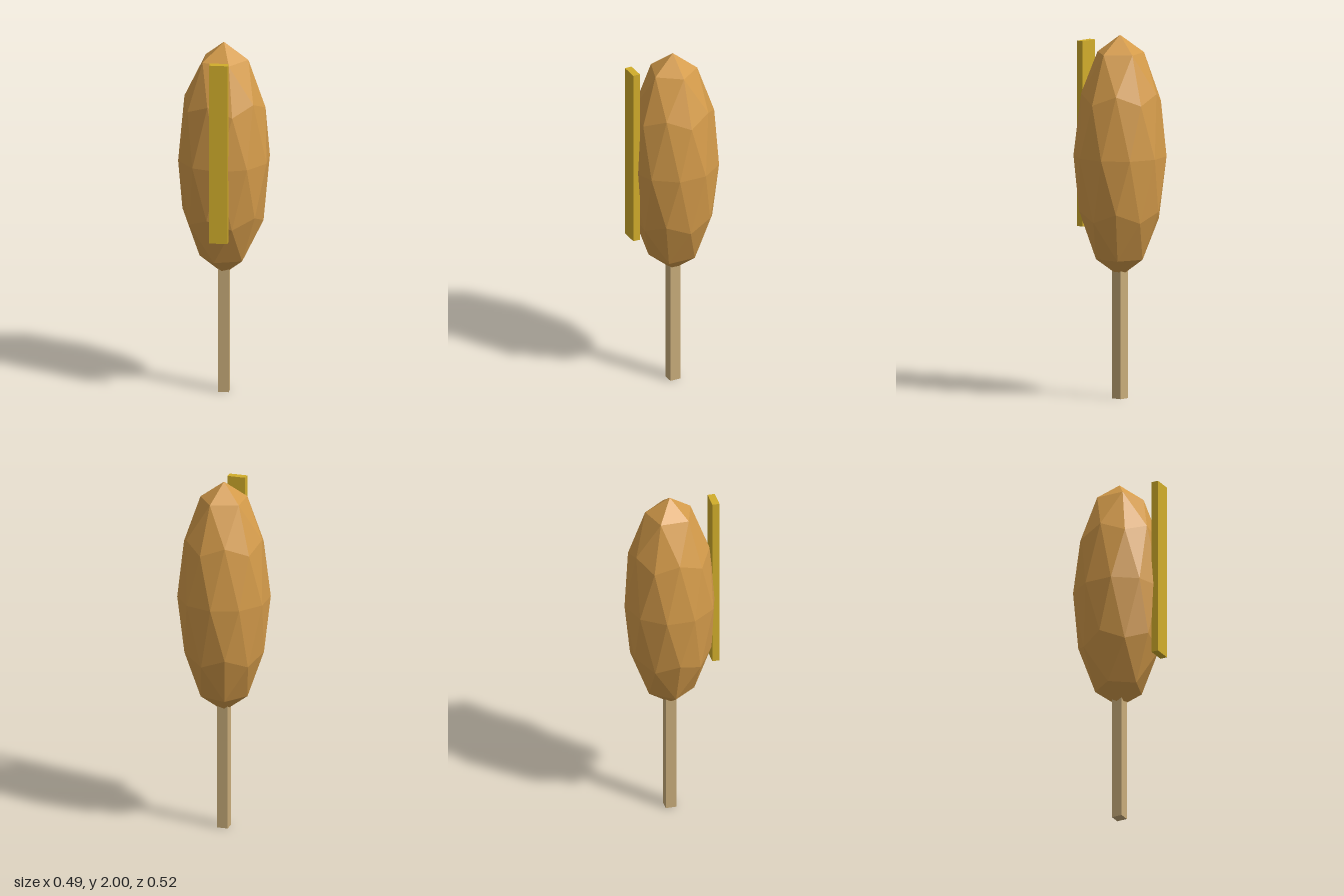
import * as THREE from 'three';

const mat = (name, color) => {
  const m = new THREE.MeshStandardMaterial({ color, flatShading: true });
  m.name = name;
  return m;
};

export function createModel() {
  const group = new THREE.Group();
  const batterColor = mat('golden batter', 0xd49b4a);
  const mustardColor = mat('mustard yellow', 0xd1ad2b);
  const stickColor = mat('pale wood', 0xc8ac7a);

  const add = (name, geometry, material, x, y, z) => {
    const mesh = new THREE.Mesh(geometry, material);
    mesh.name = name;
    mesh.position.set(x, y, z);
    group.add(mesh);
  };

  // Faceted batter: icosphere turned so a vertex points up, then stretched
  const golden = (1 + Math.sqrt(5)) / 2;
  const batter = new THREE.IcosahedronGeometry(1, 1);
  batter.rotateZ(-Math.atan(1 / golden));
  batter.scale(0.255, 0.665, 0.255);
  batter.computeVertexNormals();
  add('batter', batter, batterColor, 0, 1.335, -0.006);

  // Square stick, its top end sunk into the batter
  add('stick', new THREE.BoxGeometry(0.06, 0.8, 0.06), stickColor, 0, 0.4, -0.006);

  // Straight mustard strip along the front
  add('mustardStrip', new THREE.BoxGeometry(0.102, 1.02, 0.04), mustardColor, 0, 1.438, 0.241);

  return group;
}
